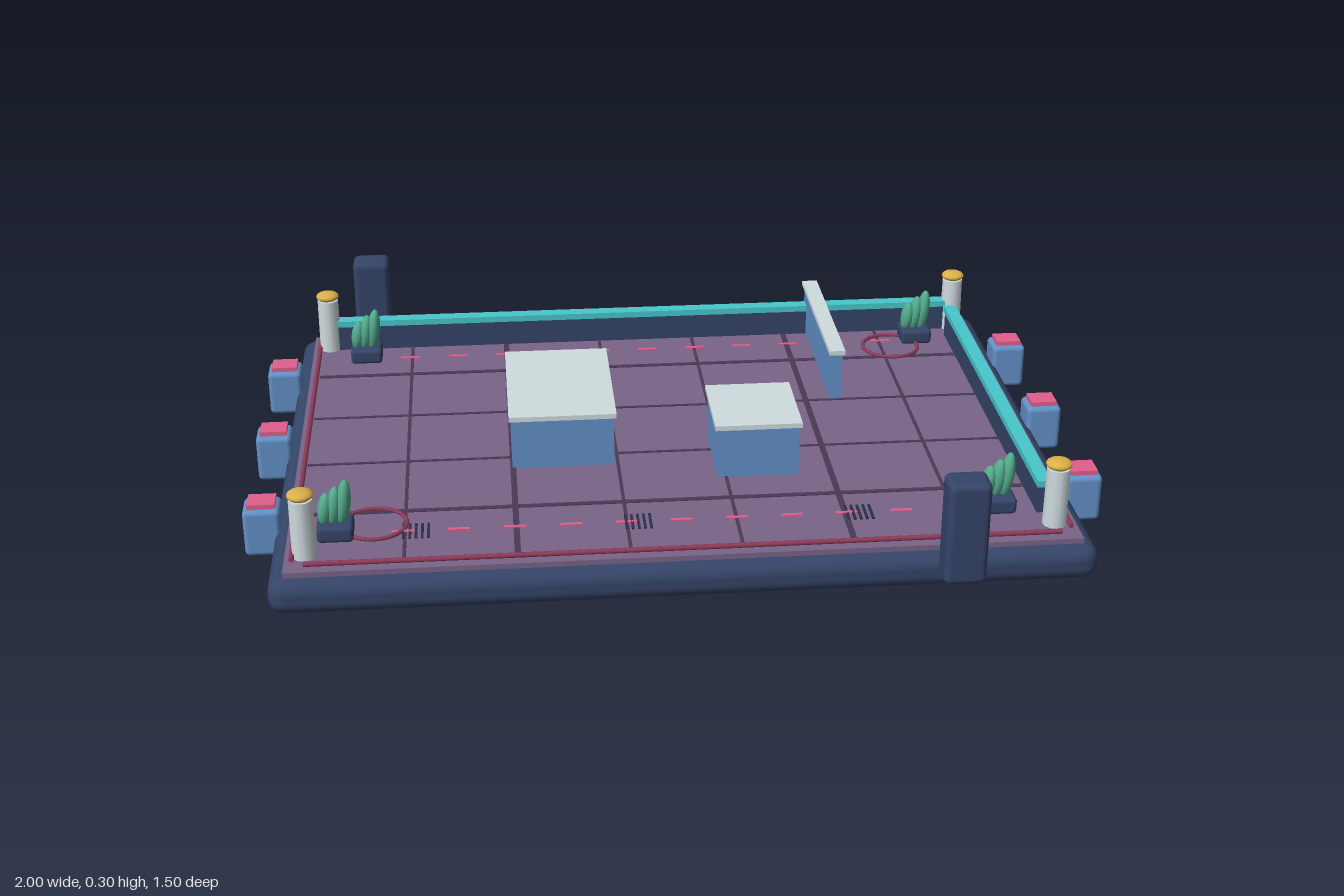
import * as THREE from 'three';
import { RoundedBoxGeometry } from 'three/addons/geometries/RoundedBoxGeometry.js';

const mat = (color) => new THREE.MeshStandardMaterial({ color });

export function createModel() {
  const model = new THREE.Group();
  const navy = mat(0x354568), purple = mat(0x7a6488), seam = mat(0x4a3a55), blue = mat(0x6290c8);
  const pink = mat(0xe0608c), teal = mat(0x48c8cc), pale = mat(0xd0dce0), gold = mat(0xdcb048);
  const green = mat(0x52ab8c), maroon = mat(0x8f3a5a), dark = mat(0x2a3048);

  const add = (name, geometry, material, x, y, z, parent = model) => {
    const mesh = new THREE.Mesh(geometry, material);
    mesh.name = name;
    mesh.position.set(x, y, z);
    parent.add(mesh);
    return mesh;
  };
  // Boxes are placed by the height of their underside
  const box = (name, material, w, h, d, x, y, z, parent) =>
    add(name, new THREE.BoxGeometry(w, h, d), material, x, y + h / 2, z, parent);
  const rounded = (name, material, w, h, d, r, x, y, z, parent) =>
    add(name, new RoundedBoxGeometry(w, h, d, 4, r), material, x, y + h / 2, z, parent);
  const group = (name, x, y, z) => {
    const g = new THREE.Group();
    g.name = name;
    g.position.set(x, y, z);
    model.add(g);
    return g;
  };

  // Platform
  rounded('base', navy, 1.86, 0.086, 1.35, 0.036, 0, 0, 0);
  box('deck', purple, 1.79, 0.018, 1.29, 0, 0.08, 0);
  const top = 0.098;

  // Deck seams on a quarter-unit grid, the outer pair wider
  for (const s of [-1, 1]) {
    for (const x of [0.126, 0.378, 0.63]) {
      box('deckSeam', seam, x === 0.378 ? 0.014 : 0.008, 0.003, 1.23, s * x, top - 0.001, 0);
    }
    for (const z of [0.128, 0.38]) {
      box('deckSeam', seam, 1.74, 0.003, z === 0.38 ? 0.014 : 0.008, 0, top - 0.001, s * z);
    }
  }

  // Edge rails
  for (const s of [-1, 1]) {
    const long = add('edgeRail', new THREE.CylinderGeometry(0.006, 0.006, 1.7, 8), maroon, 0, 0.106, s * 0.622);
    long.rotation.z = Math.PI / 2;
    const short = add('edgeRail', new THREE.CylinderGeometry(0.006, 0.006, 1.2, 8), maroon, s * 0.877, 0.106, 0);
    short.rotation.x = Math.PI / 2;
  }

  // Lane dashes
  for (const z of [-0.483, 0.48]) {
    for (let i = -5; i <= 5; i++) box('laneDash', pink, 0.05, 0.004, 0.009, i * 0.127, top, z);
  }

  // Floor grates
  for (const x of [-0.605, -0.1, 0.41]) {
    for (let i = -2; i <= 2; i++) box('floorGrate', dark, 0.006, 0.004, 0.066, x + i * 0.014, top, 0.48);
  }

  // Floor rings
  for (const [x, z] of [[-0.7, 0.44], [0.655, -0.445]]) {
    const ring = add('floorRing', new THREE.TorusGeometry(0.074, 0.005, 8, 32), maroon, x, top + 0.003, z);
    ring.rotation.x = Math.PI / 2;
  }

  // Perimeter walls with bright caps
  box('backWall', navy, 1.66, 0.07, 0.026, 0, 0.096, -0.568);
  box('backWallCap', teal, 1.66, 0.016, 0.034, 0, 0.165, -0.568);
  box('sideWall', navy, 0.024, 0.07, 1.03, 0.83, 0.096, 0);
  box('sideWallCap', teal, 0.032, 0.016, 1.04, 0.83, 0.165, 0);

  // Corner posts
  for (const x of [-0.85, 0.845]) {
    for (const z of [-0.568, 0.568]) {
      const post = group('cornerPost', x, 0, z);
      add('postShaft', new THREE.CylinderGeometry(0.027, 0.028, 0.144, 12), pale, 0, 0.168, 0, post);
      add('postLamp', new THREE.SphereGeometry(0.03, 16, 10), gold, 0, 0.25, 0, post).scale.y = 0.42;
    }
  }

  // Planters with three leaves of rising height
  for (const [x, z] of [[-0.75, -0.495], [0.73, -0.495], [-0.785, 0.48], [0.73, 0.48]]) {
    const planter = group('planter', x, 0, z);
    rounded('planterBox', navy, 0.082, 0.04, 0.076, 0.01, 0, 0.096, 0, planter);
    for (let i = -1; i <= 1; i++) {
      const h = 0.043 + 0.008 * i;
      const leaf = add('leaf', new THREE.SphereGeometry(1, 14, 10), green, i * 0.021, 0.13 + h, 0, planter);
      leaf.scale.set(0.017, h + 0.006, 0.022);
      leaf.rotation.z = -0.12;
    }
  }

  // Flat-roofed blocks: windows along the back face
  const blocks = [
    { name: 'largeBlock', x: -0.257, z: -0.002, w: 0.245, d: 0.375, windows: 5 },
    { name: 'smallBlock', x: 0.202, z: 0.165, w: 0.195, d: 0.22, windows: 4 },
    { name: 'partition', x: 0.455, z: -0.362, w: 0.028, d: 0.463, windows: 1 },
  ];
  for (const b of blocks) {
    const block = group(b.name, b.x, 0, b.z);
    box('blockBody', blue, b.w, 0.128, b.d, 0, 0.096, 0, block);
    box('blockRoof', pale, b.w + 0.012, 0.012, b.d + 0.012, 0, 0.223, 0, block);
    for (let i = 0; i < b.windows; i++) {
      const x = (i - (b.windows - 1) / 2) * 0.045;
      box('window', gold, 0.018, 0.042, 0.006, x, 0.145, -b.d / 2 - 0.001, block);
    }
  }

  // Upright pylons on the front and back edges, striped on the rear face
  for (const [x, z] of [[-0.737, -0.71], [0.604, 0.708]]) {
    const pylon = group('pylon', x, 0, z);
    rounded('pylonBody', navy, 0.096, 0.25, 0.078, 0.016, 0, 0.048, 0, pylon);
    for (const y of [0.115, 0.172, 0.229]) box('pylonStripe', pink, 0.06, 0.009, 0.008, 0, y - 0.004, -0.039, pylon);
  }

  // Side bumpers
  for (const s of [-1, 1]) {
    for (const z of [-0.378, 0, 0.378]) {
      const bumper = group('bumper', s * 0.957, 0, z);
      rounded('bumperBody', blue, 0.086, 0.116, 0.082, 0.012, 0, 0.016, 0, bumper);
      box('bumperPad', pink, 0.064, 0.013, 0.056, 0, 0.13, 0, bumper);
    }
  }

  return model;
}
